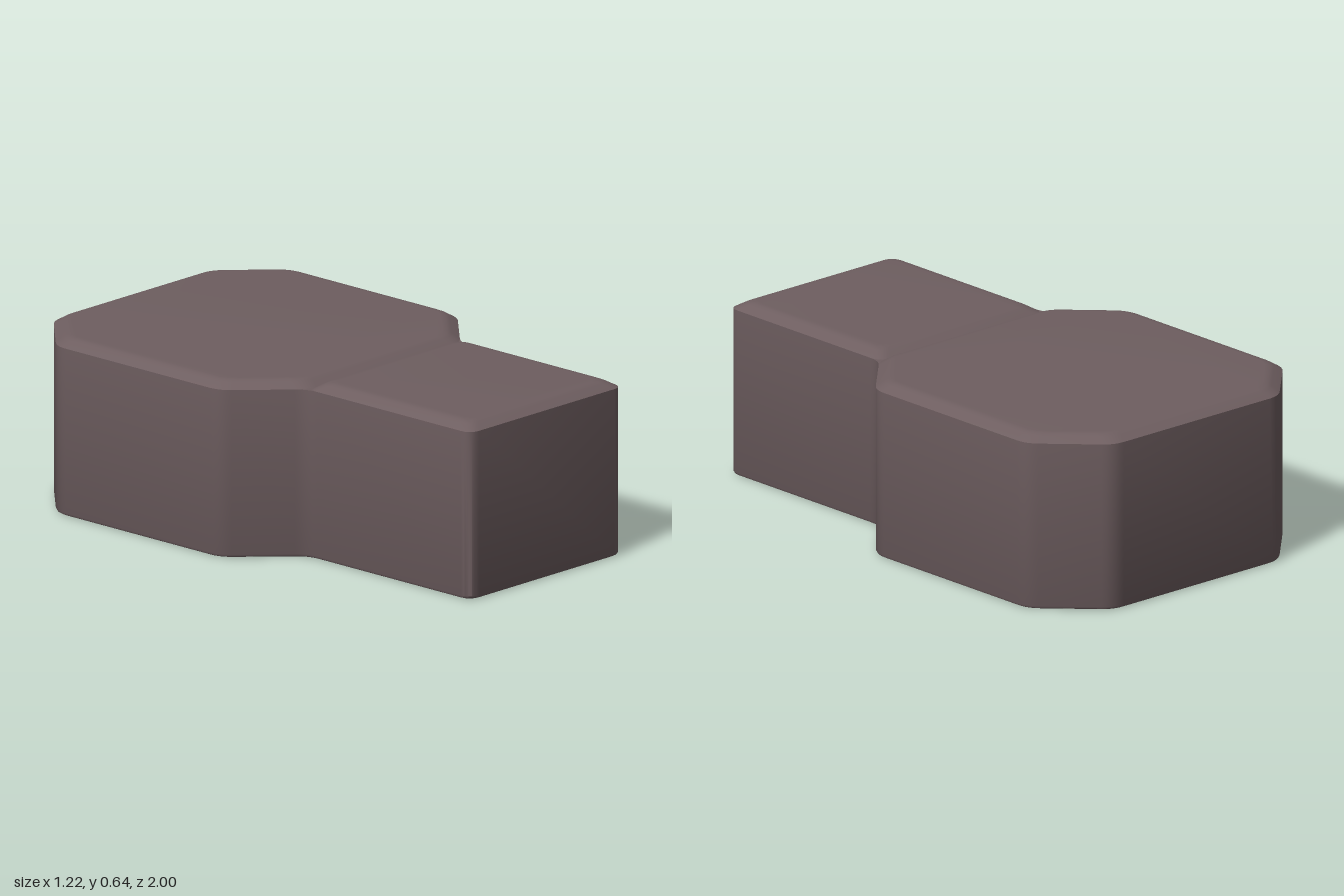
import * as THREE from 'three';
import { toCreasedNormals } from 'three/addons/utils/BufferGeometryUtils.js';

const stone = new THREE.MeshStandardMaterial({ color: 0x6e5e60 });
stone.name = 'paving stone';

// Mirrors the right half of an outline (back to front) into a closed loop
const mirrored = (half) => [...half, ...half.slice().reverse().map(([x, z]) => [-x, z])]
  .map(([x, z]) => new THREE.Vector2(x, z));

// Moves every edge inward, then rounds each corner into a fixed number of points
function ring(outline, inset, y, radius = 0.045, steps = 5) {
  const n = outline.length;
  const normals = outline.map((p, i) => {
    const d = outline[(i + 1) % n].clone().sub(p).normalize();
    return new THREE.Vector2(-d.y, d.x);
  });
  const pts = outline.map((p, i) => {
    const a = normals[(i + n - 1) % n], b = normals[i];
    return p.clone().addScaledVector(a.clone().add(b), inset / (1 + a.dot(b)));
  });
  const out = [];
  pts.forEach((p, i) => {
    const towards = (q) => p.clone().addScaledVector(q.clone().sub(p).normalize(), radius);
    const curve = new THREE.QuadraticBezierCurve(towards(pts[(i + n - 1) % n]), p, towards(pts[(i + 1) % n]));
    for (const q of curve.getPoints(steps)) out.push(new THREE.Vector3(q.x, y, q.y));
  });
  return out;
}

// Skins a stack of rings, closing the top and optionally the bottom
function loft(name, outline, profile, closeBottom) {
  const rings = profile.map(([inset, y]) => ring(outline, inset, y));
  const pos = [];
  const tri = (...v) => v.forEach((p) => pos.push(p.x, p.y, p.z));
  const n = rings[0].length;
  for (let r = 0; r < rings.length - 1; r++) {
    for (let i = 0; i < n; i++) {
      const j = (i + 1) % n, lo = rings[r], hi = rings[r + 1];
      tri(lo[i], hi[i], hi[j]);
      tri(lo[i], hi[j], lo[j]);
    }
  }
  const cap = (loop, up) => {
    const flat = loop.map((p) => new THREE.Vector2(p.x, p.z));
    for (const [a, b, c] of THREE.ShapeUtils.triangulateShape(flat, [])) {
      const facesUp = flat[b].clone().sub(flat[a]).cross(flat[c].clone().sub(flat[a])) < 0;
      if (facesUp === up) tri(loop[a], loop[b], loop[c]);
      else tri(loop[a], loop[c], loop[b]);
    }
  };
  cap(rings[rings.length - 1], true);
  if (closeBottom) cap(rings[0], false);
  const geo = new THREE.BufferGeometry();
  geo.setAttribute('position', new THREE.Float32BufferAttribute(pos, 3));
  const mesh = new THREE.Mesh(toCreasedNormals(geo, 0.6), stone);
  mesh.name = name;
  return mesh;
}

export function createModel() {
  const group = new THREE.Group();
  group.name = 'pavingStone';

  const octagon = [[0.39, -1], [0.61, -0.78], [0.61, 0], [0.39, 0.22]];
  const square = [[0.39, 0.22], [0.39, 1]];

  // Keyhole-shaped body with a fine rounded bottom edge
  group.add(loft('body', mirrored([...octagon, square[1]]),
    [[0.012, 0], [0.004, 0.004], [0, 0.012], [0, 0.613]], true));

  // Bevelled tops, meeting in a V-shaped groove
  const bevel = [[0, 0.613], [0.03, 0.632], [0.043, 0.638], [0.06, 0.64]];
  group.add(loft('octagonTop', mirrored(octagon), bevel, false));
  group.add(loft('squareTop', mirrored(square), bevel, false));
  return group;
}
